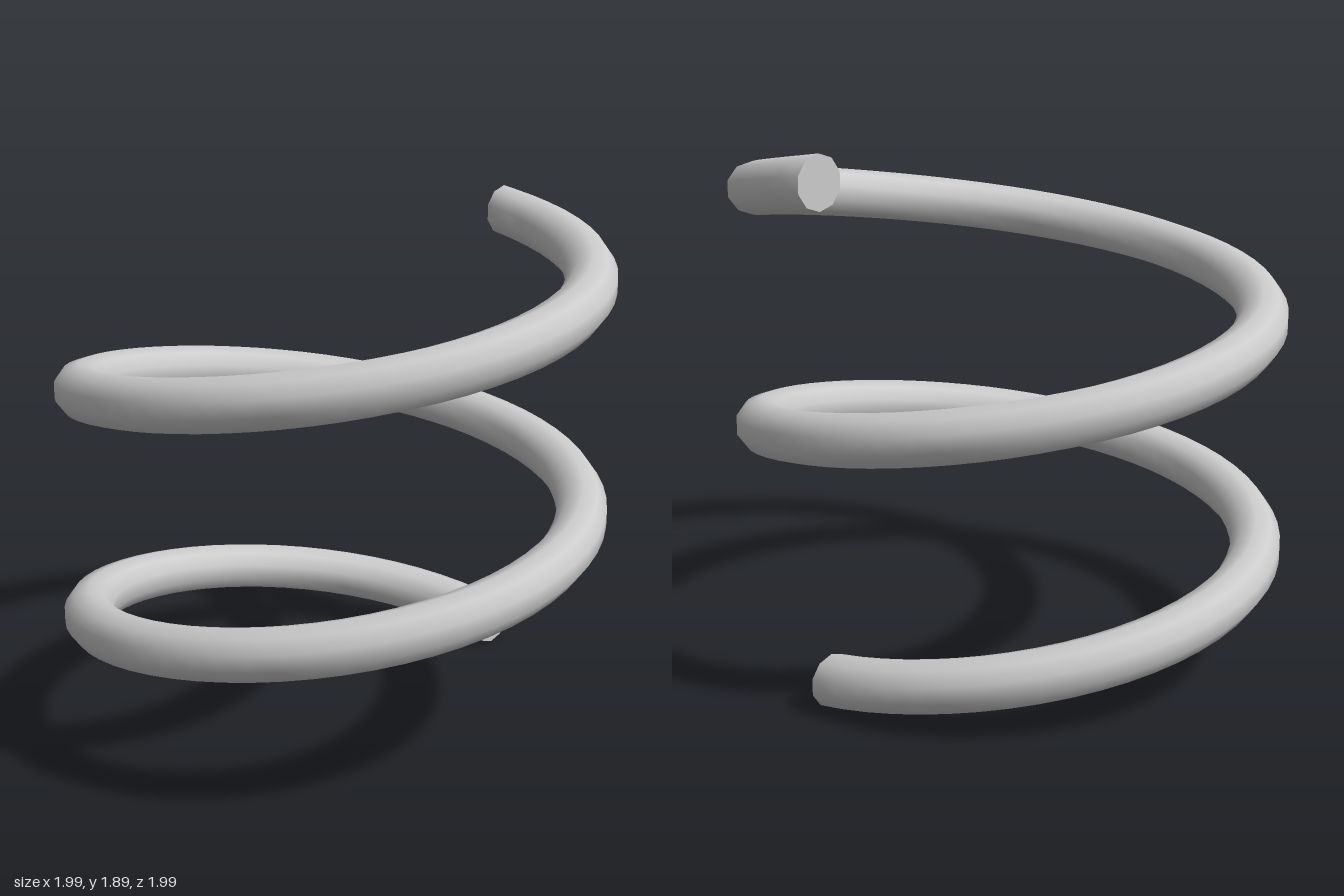
import * as THREE from 'three';

const COIL_RADIUS = 0.908;
const WIRE_RADIUS = 0.094;
const PITCH = 0.853;
const TURNS = 2;
const SIDES = 10;
const STEPS = 120;

// Point on the wire surface: t runs along the coil, j around the upright section
function wirePoint(t, j) {
  const a = t * TURNS * Math.PI * 2;
  const b = (j / SIDES) * Math.PI * 2 + Math.PI / 2;
  const r = COIL_RADIUS + WIRE_RADIUS * Math.cos(b);
  const y = WIRE_RADIUS * (1 + Math.sin(b)) + PITCH * TURNS * t;
  return [r * Math.cos(a), y, -r * Math.sin(a)];
}

function makeGeometry(positions, index) {
  const geometry = new THREE.BufferGeometry();
  geometry.setAttribute('position', new THREE.Float32BufferAttribute(positions, 3));
  geometry.setIndex(index);
  geometry.computeVertexNormals();
  return geometry;
}

// Smooth wire wound upwards, rings joined without a seam
function coilGeometry() {
  const positions = [];
  const index = [];
  for (let i = 0; i <= STEPS; i++) {
    for (let j = 0; j < SIDES; j++) {
      positions.push(...wirePoint(i / STEPS, j));
      if (i === STEPS) continue;
      const k = (j + 1) % SIDES;
      const p = i * SIDES;
      const q = p + SIDES;
      index.push(p + j, q + j, p + k, q + j, q + k, p + k);
    }
  }
  return makeGeometry(positions, index);
}

// Flat cut at one end of the wire
function capGeometry(t) {
  const positions = [];
  const index = [];
  for (let j = 0; j < SIDES; j++) {
    positions.push(...wirePoint(t, j));
    if (j < 2) continue;
    if (t === 0) index.push(0, j - 1, j);
    else index.push(0, j, j - 1);
  }
  return makeGeometry(positions, index);
}

export function createModel() {
  const group = new THREE.Group();
  group.name = 'coilSpring';
  const material = new THREE.MeshStandardMaterial({ color: 0xcccccc });
  const add = (name, geometry) => {
    const mesh = new THREE.Mesh(geometry, material);
    mesh.name = name;
    group.add(mesh);
  };
  add('coil', coilGeometry());
  add('bottomEnd', capGeometry(0));
  add('topEnd', capGeometry(1));
  return group;
}
